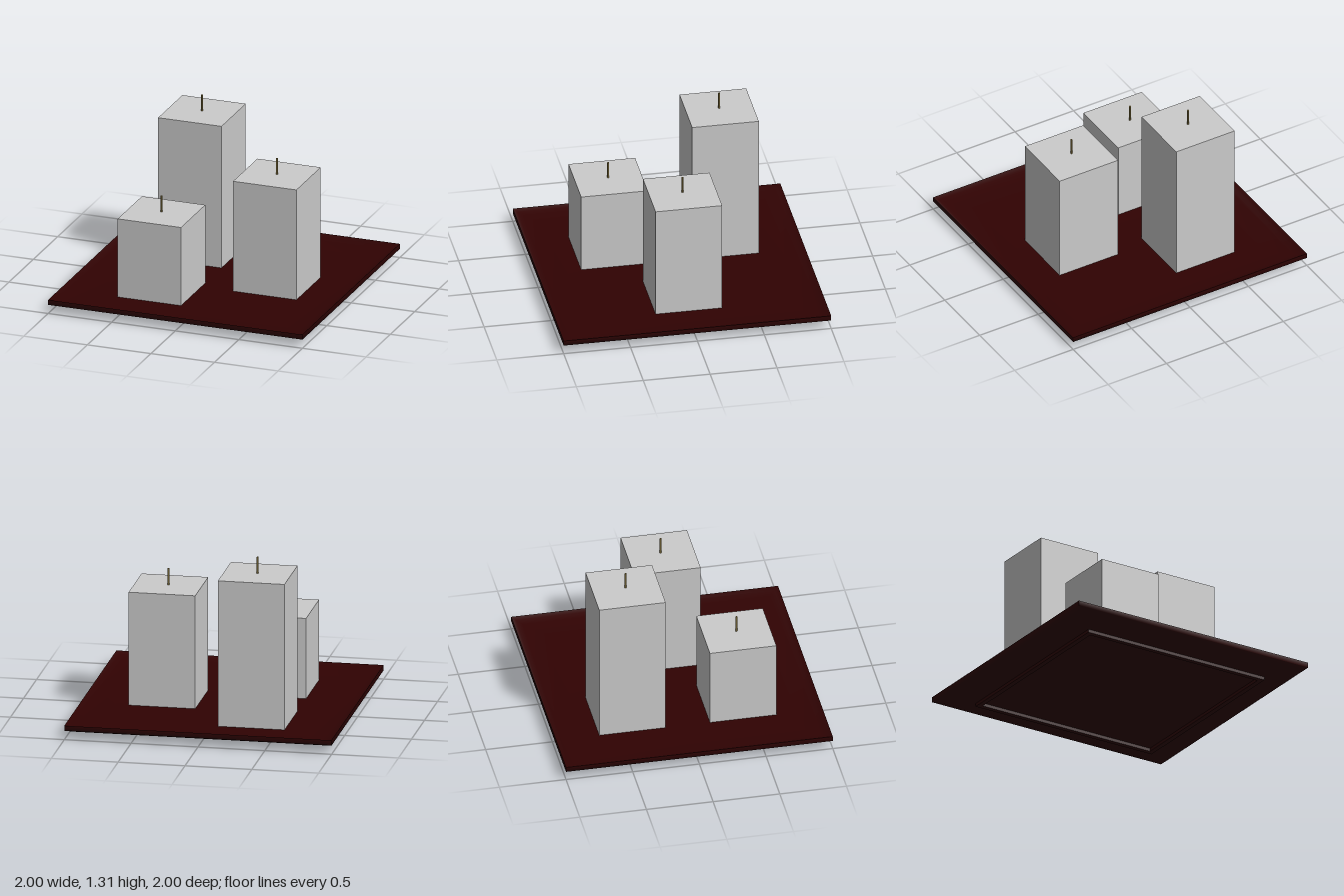
import * as THREE from 'three';
import { toCreasedNormals } from 'three/addons/utils/BufferGeometryUtils.js';

const wax = new THREE.MeshStandardMaterial({ color: 0xcccccc });
const darkWood = new THREE.MeshStandardMaterial({ color: 0x300202 });
const cord = new THREE.MeshStandardMaterial({ color: 0x8c7a43 });

const TRAY_FLOOR = 0.067;

// Square dished tray on a foot rim: a four-sided lathe, profile given as [half width, height]
function createTray() {
  const profile = [
    [0, 0.024], [0.73, 0.024], [0.73, 0], [0.768, 0], [0.768, 0.024], // hollow foot
    [0.935, 0.046], [1, 0.068], [1, 0.107], // flared underside and edge
    [0.97, 0.092], [0.93, 0.079], [0.77, TRAY_FLOOR], [0, TRAY_FLOOR], // dished top
  ].map(([r, y]) => new THREE.Vector2(r * Math.SQRT2, y));
  const lathe = new THREE.LatheGeometry(profile, 4, Math.PI / 4);
  const tray = new THREE.Mesh(toCreasedNormals(lathe, 1.3), darkWood);
  tray.name = 'tray';
  return tray;
}

// Square pillar candle with a thin upright wick
function createCandle(name, x, z, top) {
  const candle = new THREE.Group();
  candle.name = name;
  candle.position.set(x, TRAY_FLOOR, z);

  const height = top - TRAY_FLOOR;
  const body = new THREE.Mesh(new THREE.BoxGeometry(0.498, height, 0.498), wax);
  body.name = 'candleBody';
  body.position.y = height / 2;

  const wickHeight = 0.126;
  const wick = new THREE.Mesh(new THREE.CylinderGeometry(0.007, 0.007, wickHeight, 12), cord);
  wick.name = 'wick';
  wick.position.y = height + wickHeight / 2;

  candle.add(body, wick);
  return candle;
}

export function createModel() {
  const model = new THREE.Group();
  model.name = 'candleTray';
  model.add(
    createTray(),
    createCandle('tallCandle', -0.333, -0.416, 1.18),
    createCandle('mediumCandle', 0.416, 0, 0.931),
    createCandle('shortCandle', -0.333, 0.414, 0.681),
  );
  return model;
}
